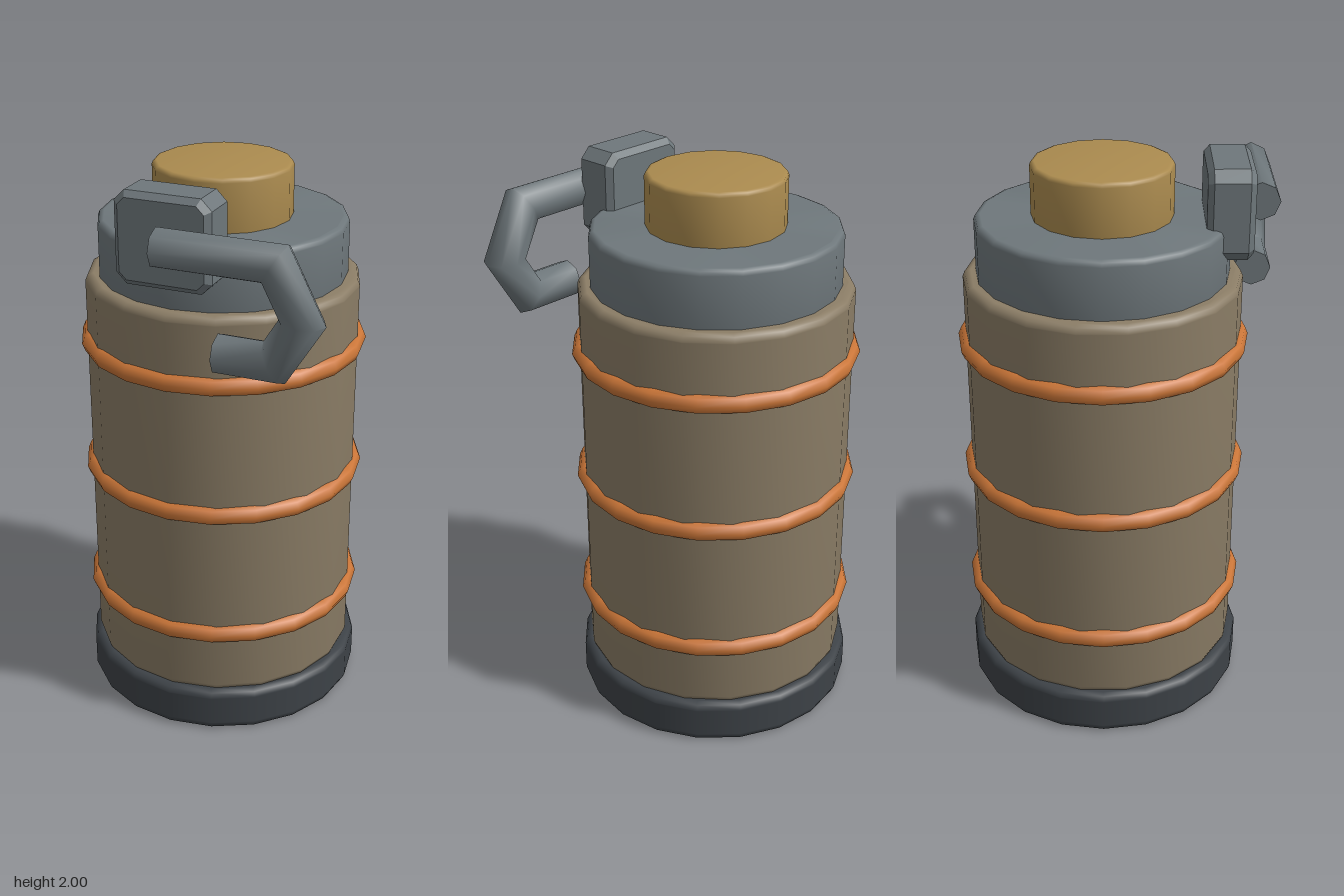
import * as THREE from 'three';
import { toCreasedNormals } from 'three/addons/utils/BufferGeometryUtils.js';

const mat = (name, color) => {
  const m = new THREE.MeshStandardMaterial({ color });
  m.name = name;
  return m;
};

// Solid cylinder with small rounded rims, from y0 to y1
function rimmedCylinder(r, y0, y1, bevel, sides) {
  const k = bevel * 0.3, g = bevel * 1.15;
  const p = [
    [0, y0], [r - g, y0], [r - bevel, y0], [r - k, y0 + k], [r, y0 + bevel], [r, y0 + g],
    [r, y1 - g], [r, y1 - bevel], [r - k, y1 - k], [r - bevel, y1], [r - g, y1], [0, y1],
  ].map(([x, y]) => new THREE.Vector2(x, y));
  return toCreasedNormals(new THREE.LatheGeometry(p, sides), 0.9);
}

// Mitred pipe along a path lying in the xy plane, with closed ends
function mitredPipe(path, radius, sides) {
  const pts = path.map(([x, y]) => new THREE.Vector2(x, y));
  const pos = [], idx = [];
  pts.forEach((p, i) => {
    const a = pts[Math.max(i - 1, 0)], b = pts[Math.min(i + 1, pts.length - 1)];
    const d0 = i > 0 ? p.clone().sub(a).normalize() : b.clone().sub(p).normalize();
    const d1 = i < pts.length - 1 ? b.clone().sub(p).normalize() : d0;
    const t = d0.clone().add(d1).normalize();
    const stretch = 1 / t.dot(d0);
    for (let j = 0; j < sides; j++) {
      const q = (j / sides) * Math.PI * 2;
      const n = Math.cos(q) * radius * stretch;
      pos.push(p.x - t.y * n, p.y + t.x * n, Math.sin(q) * radius);
    }
  });
  const last = (pts.length - 1) * sides;
  for (let i = 0; i < pts.length - 1; i++) {
    for (let j = 0; j < sides; j++) {
      const a = i * sides + j, b = i * sides + ((j + 1) % sides);
      idx.push(a, b, a + sides, b, b + sides, a + sides);
    }
  }
  for (let j = 1; j < sides - 1; j++) {
    idx.push(0, j + 1, j, last, last + j, last + j + 1);
  }
  const geo = new THREE.BufferGeometry();
  geo.setAttribute('position', new THREE.Float32BufferAttribute(pos, 3));
  geo.setIndex(idx);
  // make sure the faces point outwards
  const v = (i) => new THREE.Vector3().fromArray(pos, i * 3);
  const normal = v(1).sub(v(0)).cross(v(sides).sub(v(0)));
  const outward = v(0).sub(new THREE.Vector3(pts[0].x, pts[0].y, 0));
  if (normal.dot(outward) < 0) {
    for (let i = 0; i < idx.length; i += 3) [idx[i + 1], idx[i + 2]] = [idx[i + 2], idx[i + 1]];
    geo.setIndex(idx);
  }
  return toCreasedNormals(geo, 1.2);
}

// Block with chamfered corners and bevelled faces, centred on the origin
function chamferedBlock(w, h, d, corner, bevel) {
  const x = w / 2 - bevel, y = h / 2 - bevel, c = corner - bevel / 2;
  const shape = new THREE.Shape([
    [x - c, -y], [x, c - y], [x, y - c], [x - c, y],
    [c - x, y], [-x, y - c], [-x, c - y], [c - x, -y],
  ].map(([a, b]) => new THREE.Vector2(a, b)));
  const geo = new THREE.ExtrudeGeometry(shape, {
    depth: d - 2 * bevel, bevelEnabled: true, bevelSegments: 1,
    bevelSize: bevel, bevelThickness: bevel,
  });
  geo.translate(0, 0, bevel - d / 2);
  return geo;
}

export function createModel() {
  const model = new THREE.Group();
  model.name = 'canister';

  const tan = mat('tan', 0x8b7d66);
  const orange = mat('orange', 0xcb7638);
  const grey = mat('steel grey', 0x6e777b);
  const dark = mat('dark grey', 0x3d4247);
  const brass = mat('brass', 0xab8b4f);

  const add = (parent, name, geo, material) => {
    const mesh = new THREE.Mesh(geo, material);
    mesh.name = name;
    parent.add(mesh);
    return mesh;
  };

  // Round parts share one upright axis
  const barrel = new THREE.Group();
  barrel.name = 'barrel';
  barrel.position.set(-0.032, 0, -0.048);
  model.add(barrel);
  add(barrel, 'base', rimmedCylinder(0.503, 0.005, 0.168, 0.025, 20), dark);
  add(barrel, 'body', rimmedCylinder(0.478, 0.16, 1.605, 0.025, 18), tan);
  add(barrel, 'collar', rimmedCylinder(0.432, 1.58, 1.805, 0.02, 20), grey);
  add(barrel, 'cap', rimmedCylinder(0.24, 1.78, 1.988, 0.015, 16), brass);

  // Bands around the body
  for (const y of [0.405, 0.885, 1.365]) {
    const band = add(barrel, 'band', new THREE.TorusGeometry(0.468, 0.035, 8, 20), orange);
    band.rotation.x = Math.PI / 2;
    band.position.y = y;
  }

  // Clasp block and bent handle at the front
  const block = add(model, 'claspBlock', chamferedBlock(0.335, 0.31, 0.158, 0.035, 0.02), grey);
  block.position.set(-0.032, 1.845, 0.37);
  const handle = add(model, 'handle', mitredPipe(
    [[-0.032, 1.845], [0.365, 1.845], [0.455, 1.67], [0.365, 1.525], [0.175, 1.525]], 0.066, 8), grey);
  handle.position.z = 0.48;

  return model;
}
